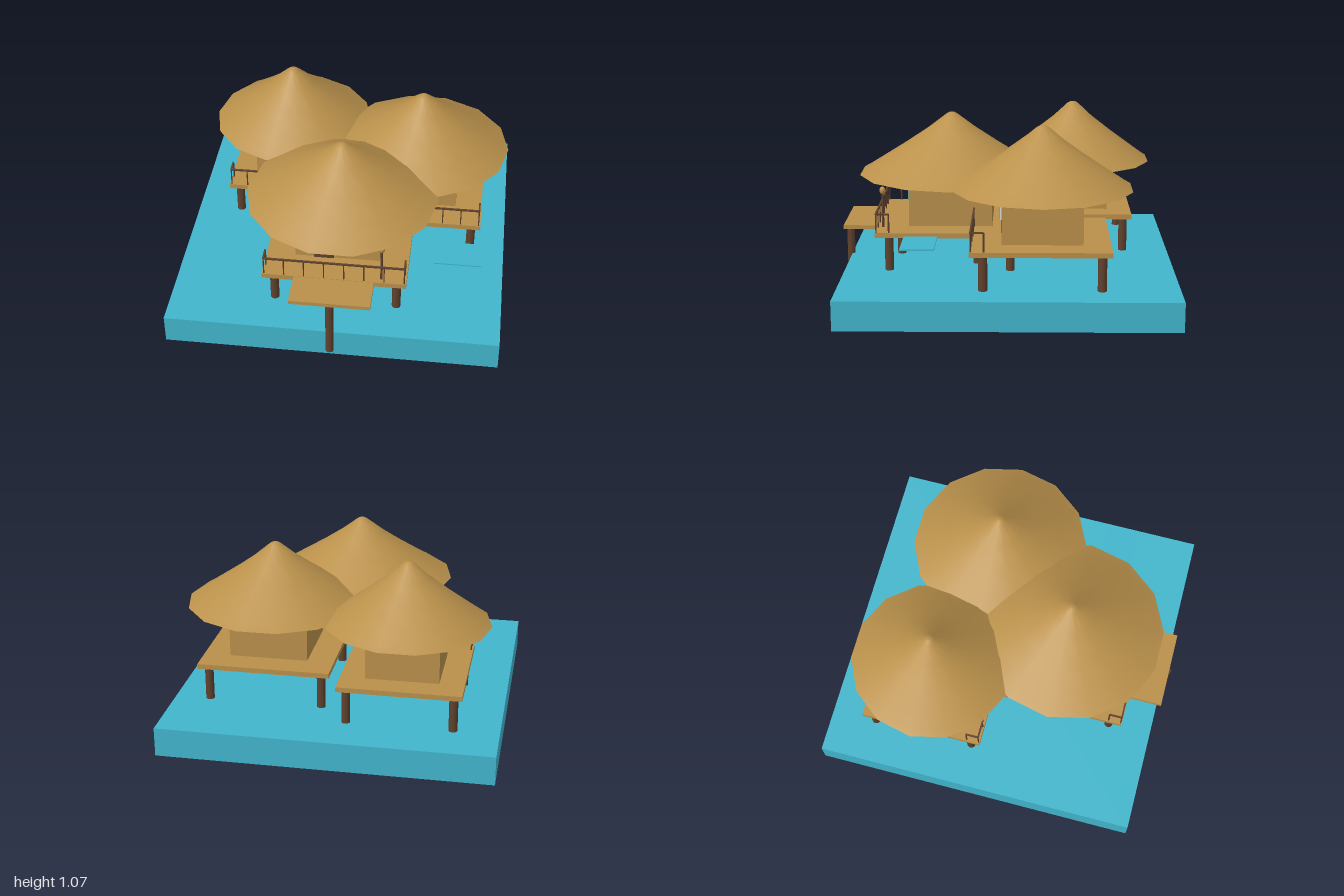
import * as THREE from 'three';

const mat = (name, color, side = THREE.FrontSide) => {
  const m = new THREE.MeshStandardMaterial({ color, side });
  m.name = name;
  return m;
};

export function createModel() {
  const model = new THREE.Group();
  model.name = 'stiltVillage';
  const wood = mat('tanWood', 0xb98f4a);
  const thatch = mat('thatch', 0xba914b, THREE.DoubleSide);
  const darkWood = mat('darkWood', 0x5f412d);
  const water = mat('water', 0x42b5cc);
  const trim = mat('paleTrim', 0xdde6ee);

  const add = (parent, name, geo, material, x, y, z) => {
    const mesh = new THREE.Mesh(geo, material);
    mesh.name = name;
    mesh.position.set(x, y, z);
    parent.add(mesh);
    return mesh;
  };
  // Box given by its extents on each axis
  const box = (parent, name, material, [x0, x1], [y0, y1], [z0, z1]) =>
    add(parent, name, new THREE.BoxGeometry(x1 - x0, y1 - y0, z1 - z0), material,
      (x0 + x1) / 2, (y0 + y1) / 2, (z0 + z1) / 2);
  const post = (parent, name, x, z, y0, y1, r, material = darkWood, sides = 12) =>
    add(parent, name, new THREE.CylinderGeometry(r, r, y1 - y0, sides), material, x, (y0 + y1) / 2, z);

  box(model, 'lagoon', water, [-0.98, 0.98], [0, 0.175], [-1, 0.97]);

  // One hut, its deck, stilts and railing, around the hut centre
  const hut = (cx, cz, R) => {
    const g = new THREE.Group();
    g.name = 'hut';
    g.position.set(cx, 0, cz);
    model.add(g);
    const w = R * 0.44, d = R * 0.74, front = d + 0.02;

    box(g, 'deck', wood, [-d, d], [0.385, 0.415], [-d, front]);
    box(g, 'walls', wood, [-w, w], [0.415, 0.69], [-w, w]);

    // Thatched roof, fourteen sided and open underneath
    const profile = [[R, 0.7], [R * 0.93, 0.722], [R * 0.75, 0.787], [R * 0.5, 0.878],
      [R * 0.25, 0.975], [0.035, 1.058], [0.015, 1.069], [0, 1.071]];
    const roof = add(g, 'roof', new THREE.LatheGeometry(
      profile.map(([x, y]) => new THREE.Vector2(x, y)), 14), thatch, 0, 0, 0);
    roof.rotation.y = Math.PI / 2;

    // Door and window on the front wall
    box(g, 'door', darkWood, [-0.138, -0.022], [0.415, 0.617], [w, w + 0.008]);
    box(g, 'windowFrame', trim, [0.063, 0.171], [0.545, 0.665], [w, w + 0.009]);
    box(g, 'windowPane', water, [0.07, 0.164], [0.552, 0.658], [w + 0.009, w + 0.013]);

    // Stilts
    const s = R * 0.635;
    for (const x of [-s, s]) for (const z of [-s, s]) post(g, 'stilt', x, z, 0.15, 0.385, 0.026);

    // Front railing with short returns at both ends
    const e = d - 0.012, rz = front - 0.008, back = rz - 0.075;
    box(g, 'handrail', darkWood, [-e, e], [0.522, 0.532], [rz - 0.005, rz + 0.005]);
    for (let i = 0; i <= 7; i++) post(g, 'baluster', -e + (2 * e * i) / 7, rz, 0.41, 0.527, 0.004, darkWood, 6);
    for (const x of [-e, e]) {
      box(g, 'handrailReturn', darkWood, [x - 0.005, x + 0.005], [0.522, 0.532], [back, rz]);
      post(g, 'baluster', x, back, 0.41, 0.527, 0.005, darkWood, 6);
    }
  };
  hut(-0.4, -0.41, 0.49);
  hut(0.43, -0.21, 0.535);
  hut(0, 0.34, 0.57);

  // Extra stilts under the joins between decks
  for (const [x, z] of [[0, 0.66], [0.215, 0.18], [-0.115, -0.14], [-0.385, -0.13]])
    post(model, 'innerStilt', x, z, 0.15, 0.385, 0.026);

  // Landing in front, on one long stilt
  box(model, 'landing', wood, [-0.235, 0.235], [0.39, 0.413], [0.75, 0.99]);
  post(model, 'landingStilt', 0, 0.978, 0.04, 0.39, 0.024);

  // Torch on the front deck
  post(model, 'torchPole', 0.275, 0.745, 0.41, 0.63, 0.007, darkWood, 8);
  add(model, 'torchHead', new THREE.SphereGeometry(0.018, 12, 8), wood, 0.275, 0.64, 0.745).scale.y = 1.35;

  // Thin hanging panel beside the front hut
  box(model, 'sidePanel', water, [0.57, 0.845], [0.43, 0.438], [0.4, 0.595]);

  return model;
}
